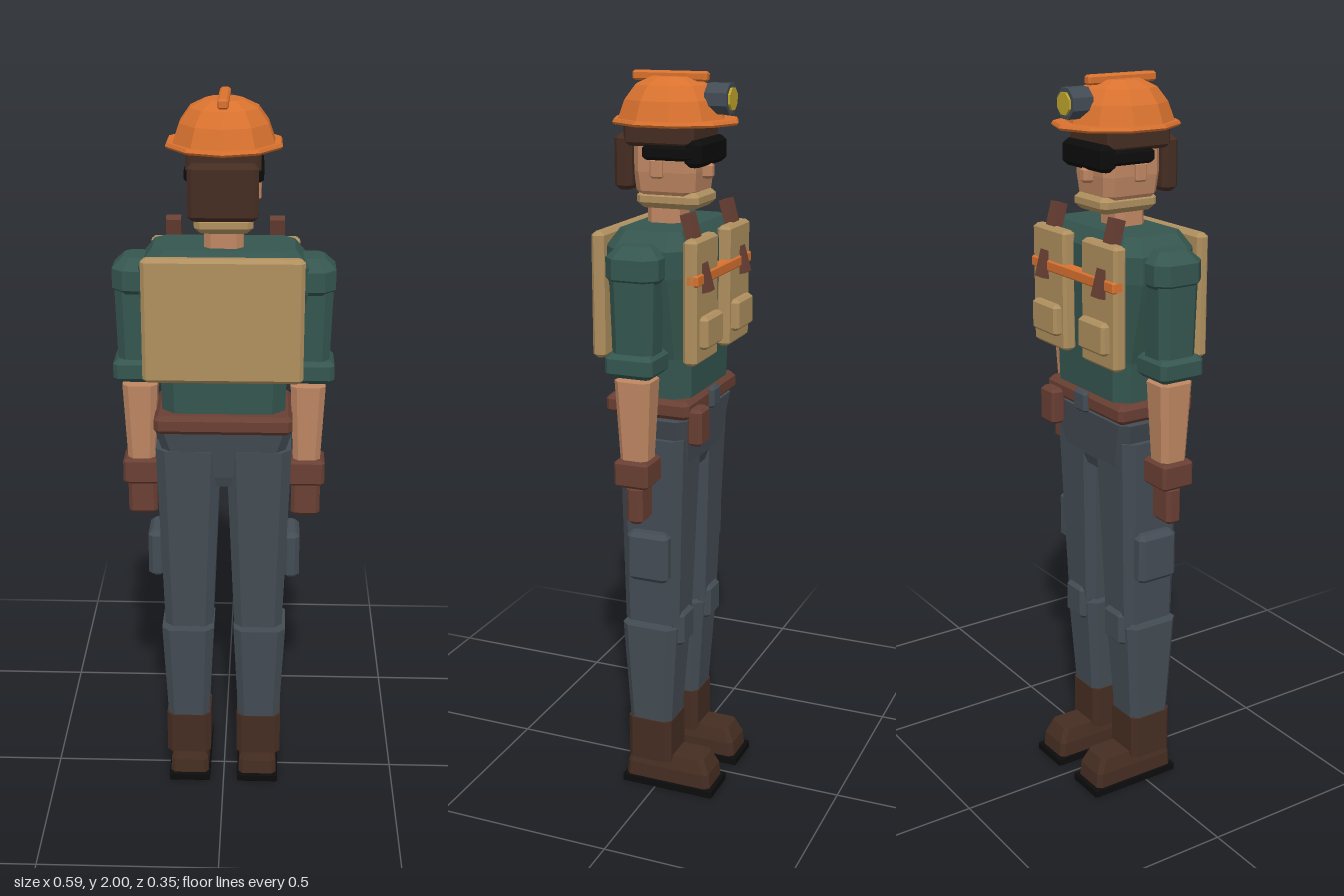
import * as THREE from 'three';

const mat = (name, color, flat = true) => {
  const m = new THREE.MeshStandardMaterial({ color, flatShading: flat });
  m.name = name;
  return m;
};
const orange = mat('orange', 0xd9722f);
const teal = mat('teal cloth', 0x35564f);
const tan = mat('tan canvas', 0xb0905f);
const skin = mat('skin', 0xc08763);
const darkBrown = mat('dark brown', 0x452d22);
const leather = mat('leather', 0x693f33);
const grey = mat('grey cloth', 0x434c54);
const black = mat('black', 0x0c0c0c);
const yellow = mat('lamp yellow', 0xc0a52c);

// Solid through stacked octagons: [y, halfX, halfZ, cornerCut, centreX, centreZ]
function loft(rings) {
  const pos = [];
  const pts = rings.map(([y, hx, hz, c, cx = 0, cz = 0]) => [
    [hx, hz - c], [hx - c, hz], [c - hx, hz], [-hx, hz - c],
    [-hx, c - hz], [c - hx, -hz], [hx - c, -hz], [hx, c - hz],
  ].map(([x, z]) => [x + cx, y, z + cz]));
  const tri = (...corners) => corners.forEach((p) => pos.push(...p));
  const n = 8;
  for (let r = 0; r < pts.length - 1; r++) {
    for (let i = 0; i < n; i++) {
      const j = (i + 1) % n;
      // points run from +z towards -x, seen from above anticlockwise order is reversed
      const a = pts[r][i], b = pts[r][j], d = pts[r + 1][i], e = pts[r + 1][j];
      tri(a, d, b);
      tri(b, d, e);
    }
  }
  const low = pts[0], high = pts[pts.length - 1];
  for (let i = 1; i < n - 1; i++) {
    tri(low[0], low[i], low[i + 1]);
    tri(high[0], high[i + 1], high[i]);
  }
  const g = new THREE.BufferGeometry();
  g.setAttribute('position', new THREE.Float32BufferAttribute(pos, 3));
  g.computeVertexNormals();
  return g;
}

// Box with chamfered edges between the given limits
function block(x0, x1, y0, y1, z0, z1, c = 0.008) {
  const hx = (x1 - x0) / 2, hz = (z1 - z0) / 2, cx = (x0 + x1) / 2, cz = (z0 + z1) / 2;
  return loft([
    [y0, hx - c, hz - c, c * 0.6, cx, cz], [y0 + c, hx, hz, c, cx, cz],
    [y1 - c, hx, hz, c, cx, cz], [y1, hx - c, hz - c, c * 0.6, cx, cz],
  ]);
}

export function createModel() {
  const model = new THREE.Group();
  model.name = 'miner';
  const add = (name, material, geometry) => {
    const m = new THREE.Mesh(geometry, material);
    m.name = name;
    model.add(m);
    return m;
  };
  // block mirrored to the other side when s = -1
  const side = (s, x0, x1, ...rest) => (s > 0 ? block(x0, x1, ...rest) : block(-x1, -x0, ...rest));

  // Torso, belt and hips
  add('torso', teal, loft([
    [1.16, 0.165, 0.098, 0.035], [1.28, 0.168, 0.1, 0.035],
    [1.5, 0.22, 0.113, 0.04, 0, 0.006], [1.57, 0.22, 0.113, 0.04, 0, 0.006],
    [1.615, 0.185, 0.085, 0.03, 0, 0.006],
  ]));
  add('belt', leather, block(-0.185, 0.185, 1.12, 1.172, -0.11, 0.128, 0.012));
  add('beltBuckle', grey, block(-0.03, 0.03, 1.115, 1.175, -0.122, -0.1));
  add('beltPouch', leather, block(0.1, 0.17, 1.05, 1.15, -0.142, -0.1));
  add('hips', grey, loft([
    [0.95, 0.1, 0.075, 0.025], [0.98, 0.145, 0.085, 0.025],
    [1.115, 0.185, 0.1, 0.025],
  ]));

  // Neck and head
  add('neck', skin, loft([[1.58, 0.052, 0.046, 0.018, 0, 0.02], [1.7, 0.05, 0.045, 0.018, 0, 0.02]]));
  add('head', skin, loft([
    [1.655, 0.05, 0.06, 0.02, 0, 0.005], [1.7, 0.078, 0.083, 0.022, 0, 0.005],
    [1.75, 0.085, 0.087, 0.022, 0, 0.005], [1.88, 0.085, 0.087, 0.022, 0, 0.005],
  ]));
  add('nose', skin, block(-0.016, 0.016, 1.73, 1.772, -0.106, -0.07));
  add('chinMask', tan, block(-0.076, 0.076, 1.655, 1.702, -0.09, 0.085, 0.015));
  add('hairBack', darkBrown, block(-0.09, 0.09, 1.7, 1.845, 0.09, 0.14, 0.012));
  add('hairTop', darkBrown, block(-0.095, 0.095, 1.815, 1.885, -0.085, 0.11, 0.01));
  add('goggleStrap', black, block(-0.102, 0.102, 1.782, 1.82, -0.095, 0.055));
  add('goggles', black, block(-0.1, 0.1, 1.766, 1.835, -0.108, -0.06, 0.012));

  // Helmet with brim, ridge and lamp
  const lathe = (profile) => new THREE.LatheGeometry(profile.map((p) => new THREE.Vector2(...p)), 10);
  add('helmetBrim', orange, lathe([[0, 1.868], [0.168, 1.868], [0.173, 1.874], [0.168, 1.882], [0, 1.882]]))
    .scale.x = 0.9;
  const dome = add('helmetDome', orange,
    lathe([[0, 1.875], [0.145, 1.88], [0.126, 1.93], [0.097, 1.967], [0.053, 1.987], [0, 1.987]]));
  dome.scale.x = 0.94;
  dome.position.z = 0.012;
  add('helmetRidge', orange, block(-0.014, 0.014, 1.975, 2.0, -0.09, 0.118, 0.005));
  const lamp = (name, material, r, depth, z) => {
    const g = new THREE.CylinderGeometry(r, r, depth, 8);
    g.rotateY(Math.PI / 8).rotateX(Math.PI / 2).translate(0, 1.934, z);
    add(name, material, g);
  };
  lamp('headLamp', grey, 0.042, 0.06, -0.124);
  lamp('lampLens', yellow, 0.03, 0.008, -0.156);

  // Back panel
  add('backPanel', tan, block(-0.21, 0.21, 1.275, 1.608, 0.116, 0.152, 0.01));
  add('chestBand', orange, block(-0.2, 0.2, 1.482, 1.512, -0.143, -0.11, 0.004));

  for (const s of [1, -1]) {
    // Chest packs
    add('chestPack', tan, side(s, 0.04, 0.2, 1.275, 1.6, -0.138, -0.1));
    add('chestPocket', tan, side(s, 0.055, 0.175, 1.315, 1.4, -0.16, -0.13));
    const strap = add('shoulderStrap', leather, new THREE.BoxGeometry(0.04, 0.205, 0.028));
    strap.position.set(s * 0.138, 1.56, -0.117);
    strap.rotation.x = 0.27;

    // Ear
    add('ear', skin, side(s, 0.075, 0.096, 1.735, 1.785, 0.0, 0.035, 0.005));

    // Arm
    add('shoulder', teal, side(s, 0.17, 0.292, 1.475, 1.587, -0.062, 0.084, 0.03));
    add('sleeve', teal, loft([
      [1.27, 0.05, 0.055, 0.02, s * 0.23, 0.012], [1.52, 0.055, 0.062, 0.022, s * 0.232, 0.011],
    ]));
    add('sleeveCuff', teal, side(s, 0.165, 0.294, 1.25, 1.312, -0.053, 0.08, 0.012));
    add('forearm', skin, loft([
      [1.0, 0.036, 0.038, 0.014, s * 0.226, 0.015], [1.236, 0.047, 0.05, 0.016, s * 0.226, 0.015],
    ]));
    add('gloveCuff', leather, side(s, 0.175, 0.276, 0.948, 1.022, -0.033, 0.064, 0.008));
    add('gloveHand', leather, side(s, 0.186, 0.266, 0.845, 0.952, -0.012, 0.034, 0.01));

    // Leg
    add('thigh', grey, loft([
      [0.52, 0.068, 0.08, 0.022, s * 0.098, 0.01], [1.06, 0.089, 0.092, 0.026, s * 0.096, 0.004],
    ]));
    add('calf', grey, loft([
      [0.2, 0.059, 0.062, 0.018, s * 0.102, 0.016], [0.506, 0.074, 0.081, 0.022, s * 0.102, 0.014],
    ]));
    add('thighPocket', grey, side(s, 0.165, 0.212, 0.66, 0.8, -0.06, 0.06, 0.012));
    add('kneePad', grey, side(s, 0.055, 0.145, 0.45, 0.552, -0.082, -0.04, 0.012));

    // Boot
    add('bootShaft', darkBrown, loft([
      [0.09, 0.064, 0.065, 0.015, s * 0.102, 0.016], [0.216, 0.064, 0.065, 0.015, s * 0.102, 0.016],
    ]));
    add('bootFoot', darkBrown, loft([
      [0.02, 0.056, 0.128, 0.012, s * 0.1, -0.036], [0.065, 0.054, 0.124, 0.012, s * 0.1, -0.036],
      [0.104, 0.042, 0.108, 0.012, s * 0.1, -0.032],
    ]));
    add('bootSole', black, side(s, 0.04, 0.16, 0, 0.024, -0.175, 0.1, 0.003));
  }
  return model;
}
